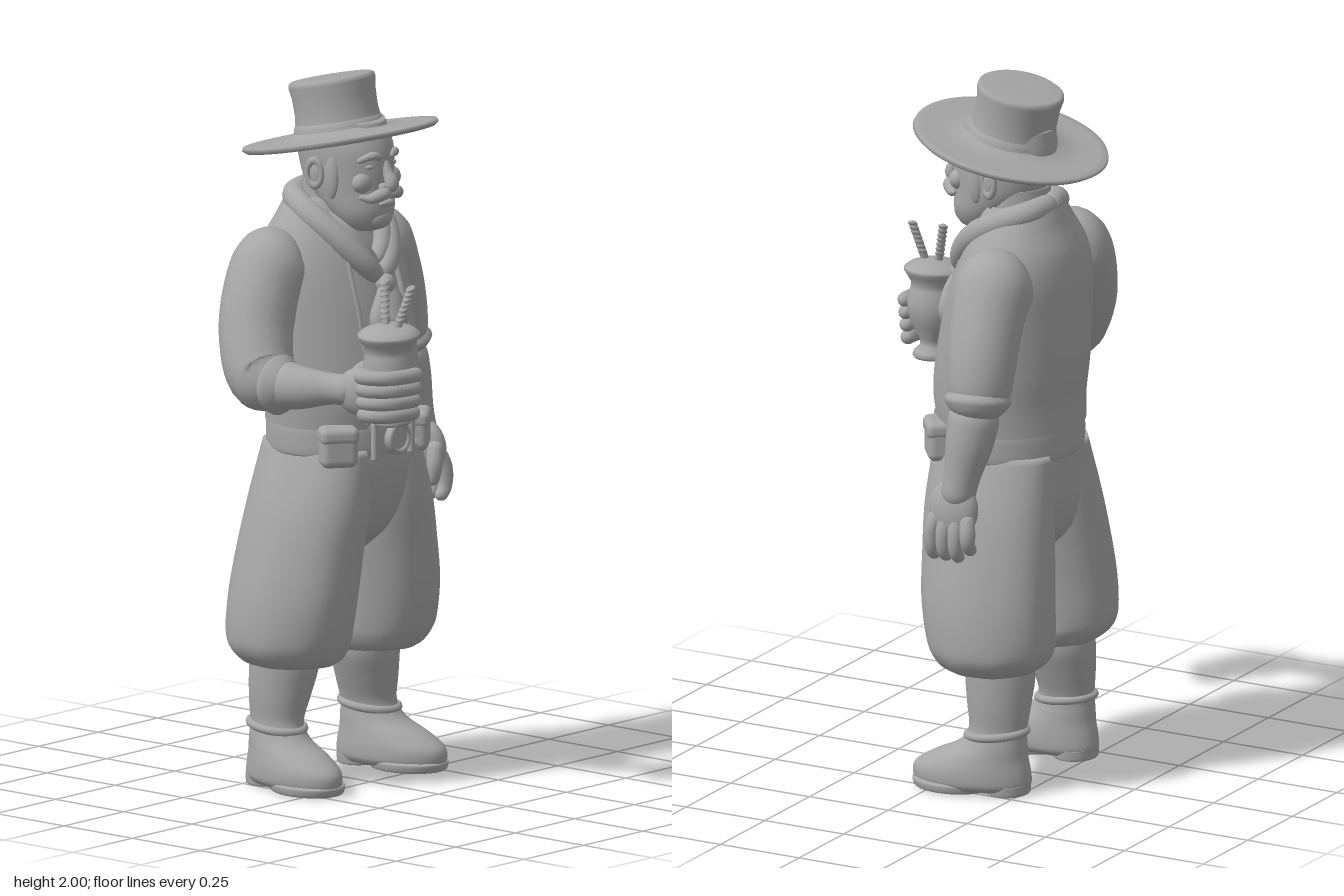
import * as THREE from 'three';
import { mergeVertices } from 'three/addons/utils/BufferGeometryUtils.js';
import { RoundedBoxGeometry } from 'three/addons/geometries/RoundedBoxGeometry.js';

const clay = new THREE.MeshStandardMaterial({ color: 0xa6a6a6, side: THREE.DoubleSide });
clay.name = 'clay grey';
const V = (x, y, z) => new THREE.Vector3(x, y, z);

function add(parent, name, geo, pos = [0, 0, 0], rot = [0, 0, 0], scale = [1, 1, 1]) {
  const m = new THREE.Mesh(geo, clay);
  m.name = name;
  m.position.set(...pos);
  m.rotation.set(...rot);
  m.scale.set(...scale);
  parent.add(m);
  return m;
}
const ball = (parent, name, pos, size, rot) =>
  add(parent, name, new THREE.SphereGeometry(1, 24, 16), pos, rot, size);

// Smooth cubic blend through a column of section values
function blend(rows, t, k) {
  const n = rows.length - 1, s = Math.min(n - 1e-6, t * n), i = Math.floor(s), f = s - i;
  const p = (j) => rows[Math.max(0, Math.min(n, j))][k];
  const a = p(i - 1), b = p(i), c = p(i + 1), d = p(i + 2);
  return b + 0.5 * f * (c - a + f * (2 * a - 5 * b + 4 * c - d + f * (3 * (b - c) + d - a)));
}
// Point on a stack of ovals [y, cx, cz, rx, rz]; angle 0 is the front
function ovalPoint(rows, t, a, grow = 0, fold = () => 0) {
  const [y, cx, cz, rx, rz] = [0, 1, 2, 3, 4].map((k) => blend(rows, t, k));
  const g = 1 + fold(t, a);
  return V(cx + (rx + grow) * g * Math.sin(a), y, cz + (rz + grow) * g * Math.cos(a));
}
// Skin over a stack of ovals, either closed or open at the front
function loft(rows, { open = 0, grow = 0, fold, cap = true, nt = 40, na = 56 } = {}) {
  const pos = [], idx = [], w = na + 1;
  for (let i = 0; i <= nt; i++) for (let j = 0; j <= na; j++) {
    const a = open + (j / na) * (2 * Math.PI - 2 * open);
    pos.push(...ovalPoint(rows, i / nt, a, grow, fold).toArray());
  }
  for (let i = 0; i < nt; i++) for (let j = 0; j < na; j++) {
    const a = i * w + j;
    idx.push(a, a + 1, a + w, a + 1, a + w + 1, a + w);
  }
  if (cap && !open) [0, nt].forEach((i) => {
    const r = rows[i ? rows.length - 1 : 0], c = pos.length / 3;
    pos.push(r[1], r[0], r[2]);
    for (let j = 0; j < na; j++) {
      const a = i * w + j;
      idx.push(...(i ? [a, a + 1, c] : [a + 1, a, c]));
    }
  });
  return smooth(pos, idx);
}
function smooth(pos, idx) {
  let g = new THREE.BufferGeometry();
  g.setAttribute('position', new THREE.Float32BufferAttribute(pos, 3));
  g.setIndex(idx);
  g = mergeVertices(g, 1e-5);
  g.computeVertexNormals();
  return g;
}
// Round-ended tube through points [x, y, z, radius]
function limb(pts, n = 32, sides = 20) {
  const curve = new THREE.CatmullRomCurve3(pts.map((p) => V(p[0], p[1], p[2])));
  const g = new THREE.TubeGeometry(curve, n, 1, sides), len = curve.getLength(), pos = [];
  // Bunch the rings at the ends so the tips come out round
  const frames = curve.computeFrenetFrames(n);
  for (let i = 0; i <= n; i++) {
    const u = 0.5 - 0.5 * Math.cos((Math.PI * i) / n);
    const c = curve.getPointAt(u), t = curve.getUtoTmapping(u);
    let r = Math.max(0.0005, blend(pts, t, 3));
    const end = Math.min(1, (Math.min(u, 1 - u) * len) / r);
    r *= Math.sqrt(Math.max(0, 1 - (1 - end) ** 2));
    const k = Math.round(u * n);
    for (let j = 0; j <= sides; j++) {
      const a = (j / sides) * Math.PI * 2;
      const d = frames.normals[k].clone().multiplyScalar(-Math.cos(a)).addScaledVector(frames.binormals[k], Math.sin(a));
      pos.push(...c.clone().addScaledVector(d, r).toArray());
    }
  }
  return smooth(pos, Array.from(g.index.array));
}
const mirror = (pts) => pts.map(([x, ...rest]) => [-x, ...rest]);

const TORSO = [[1.02, 0, -.11, .205, .19], [1.1, 0, -.105, .212, .195], [1.2, 0, -.115, .218, .195],
  [1.35, 0, -.132, .222, .182], [1.45, 0, -.147, .22, .165], [1.53, 0, -.155, .195, .143],
  [1.6, 0, -.155, .15, .112], [1.65, 0, -.155, .11, .095]];

function buildHead(root) {
  const head = new THREE.Group();
  head.name = 'head';
  head.position.x = -.004;
  root.add(head);
  add(head, 'skull', loft([[1.56, 0, -.015, .03, .03], [1.575, 0, -.018, .065, .065], [1.62, 0, -.035, .093, .098],
    [1.68, 0, -.07, .106, .13], [1.74, 0, -.083, .11, .146], [1.8, 0, -.09, .112, .148], [1.87, 0, -.1, .1, .13]]));
  add(head, 'neck', new THREE.CylinderGeometry(.088, .1, .22, 32), [0, 1.59, -.13]);
  add(head, 'nose', limb([[0, 1.765, .05, .012], [0, 1.73, .068, .015], [0, 1.7, .082, .021], [0, 1.685, .065, .018]], 20));
  ball(head, 'chin', [0, 1.6, .035], [.045, .032, .03]);
  ball(head, 'lowerLip', [0, 1.645, .064], [.03, .01, .013]);
  for (const s of [1, -1]) {
    const side = (p) => (s > 0 ? p : mirror(p));
    add(head, 'moustache', limb(side([[.002, 1.677, .076, .014], [.03, 1.674, .073, .018], [.055, 1.663, .052, .014], [.078, 1.668, .03, .006]])));
    add(head, 'eyebrow', limb(side([[.018, 1.772, .06, .009], [.045, 1.782, .052, .012], [.08, 1.766, .024, .008]])));
    ball(head, 'eye', [s * .043, 1.75, .041], [.018, .009, .012]);
    ball(head, 'cheek', [s * .058, 1.705, .025], [.034, .03, .026]);
    ball(head, 'nostril', [s * .018, 1.692, .066], [.013, .012, .014]);
    add(head, 'ear', new THREE.TorusGeometry(.026, .009, 10, 24), [s * .116, 1.725, -.1], [0, Math.PI / 2 - s * .3, 0], [.85, 1.35, 1]);
    ball(head, 'earLobe', [s * .112, 1.722, -.1], [.01, .034, .02]);
    ball(head, 'sideburn', [s * .1, 1.72, -.05], [.015, .065, .024]);
  }
}

function buildHat(root) {
  const hat = new THREE.Group();
  hat.name = 'hat';
  hat.position.set(-.012, 1.813, -.1);
  hat.rotation.x = -.207;
  root.add(hat);
  const P = (a) => a.map(([x, y]) => new THREE.Vector2(x, y));
  add(hat, 'brim', new THREE.LatheGeometry(P([[.001, -.008], [.13, -.008], [.21, -.012], [.265, -.009], [.275, -.001],
    [.272, .008], [.25, .008], [.19, .007], [.135, .016], [.12, .03]]), 72));
  add(hat, 'crown', new THREE.LatheGeometry(P([[.128, .012], [.121, .03], [.116, .07], [.117, .12], [.122, .15],
    [.12, .161], [.112, .166], [.06, .167], [.0005, .166]]), 64));
  add(hat, 'hatBand', new THREE.LatheGeometry(P([[.13, .012], [.126, .03], [.121, .045], [.114, .047]]), 64));
}

function buildTorso(root) {
  add(root, 'shirt', loft(TORSO));
  const vest = TORSO.slice();
  add(root, 'vest', loft(vest, { open: .44, grow: .012 }));
  for (const s of [1, -1]) {
    const edge = [];
    for (let i = 0; i <= 8; i++) edge.push([...ovalPoint(vest, .02 + .1 * i, s * .44, .006).toArray(), .009]);
    add(root, 'vestEdge', limb(edge, 40, 10));
    // Neckerchief roll, collar and hanging tail
    const side = (p) => (s > 0 ? p : mirror(p));
    add(root, 'neckerchief', limb(side([[0, 1.425, .035, .025], [.05, 1.475, .022, .032], [.1, 1.55, -.035, .036],
      [.122, 1.61, -.12, .036], [.085, 1.645, -.205, .034], [-.015, 1.655, -.235, .032]])));
    add(root, 'neckFold', limb(side([[0, 1.46, .01, .025], [.045, 1.51, .0, .028], [.08, 1.57, -.04, .028], [.095, 1.61, -.11, .025]])));
    add(root, 'neckerchiefTail', limb(side([[.01, 1.42, .058, .012], [.028, 1.37, .066, .022], [.042, 1.31, .07, .027], [.035, 1.255, .084, .004]])));
  }
  ball(root, 'neckerchiefKnot', [0, 1.415, .056], [.03, .028, .026]);
  for (let i = 0; i < 3; i++) ball(root, 'shirtButton', [0, 1.24 - i * .07, .082 + i * .003], [.008, .008, .006]);
  // Belt, buckle and pouches
  add(root, 'belt', loft([[.94, 0, -.108, .2, .18], [.945, 0, -.108, .215, .197], [.985, 0, -.108, .218, .2],
    [1.025, 0, -.108, .215, .197], [1.03, 0, -.108, .2, .18]]));
  add(root, 'buckle', new THREE.CylinderGeometry(.044, .046, .025, 28), [.003, .985, .093], [Math.PI / 2, 0, 0]);
  add(root, 'buckleRim', new THREE.TorusGeometry(.038, .008, 10, 28), [.003, .985, .104]);
  for (const s of [1, -1]) {
    add(root, 'pouch', new RoundedBoxGeometry(.105, .11, .07, 4, .022), [s * .165 - .01, .977, .035], [0, s * .65, 0]);
    add(root, 'pouchFlap', new RoundedBoxGeometry(.11, .05, .078, 4, .02), [s * .165 - .01, 1.012, .035], [0, s * .65, 0]);
    add(root, 'beltLoop', new RoundedBoxGeometry(.022, .11, .02, 3, .008), [s * .075, .983, .083], [0, s * .3, 0]);
  }
}

function buildLegs(root) {
  add(root, 'trouserSeat', loft([[.66, 0, -.13, .08, .1], [.72, 0, -.125, .16, .155], [.8, 0, -.115, .205, .182],
    [.9, 0, -.107, .212, .192], [.98, 0, -.107, .205, .19]]));
  const folds = (t, a) => .022 * Math.cos(9 * a) * Math.max(0, 1 - t * 2.2) + .012 * Math.cos(6 * a + 5 * t) * t * (1 - t) * 3;
  for (const s of [1, -1]) {
    const leg = new THREE.Group();
    leg.name = s > 0 ? 'leftLeg' : 'rightLeg';
    root.add(leg);
    add(leg, 'trouserLeg', loft([[.345, s * .167, -.14, .09, .09], [.352, s * .168, -.14, .128, .135], [.39, s * .174, -.146, .156, .17],
      [.44, s * .177, -.143, .162, .184], [.54, s * .172, -.133, .158, .192], [.66, s * .155, -.124, .15, .192],
      [.8, s * .13, -.113, .137, .19], [.96, s * .1, -.107, .105, .178]], { fold: folds }));
    const boot = new THREE.Group();
    boot.name = 'boot';
    boot.position.set(s * .195, 0, -.17);
    boot.rotation.y = s * .14;
    leg.add(boot);
    add(boot, 'bootUpper', loft([[.012, 0, .07, .08, .16], [.03, 0, .07, .092, .172], [.065, 0, .068, .092, .168],
      [.1, 0, .045, .084, .138], [.135, 0, .01, .074, .1], [.18, -s * .002, -.005, .067, .083], [.25, -s * .012, -.005, .082, .09],
      [.32, -s * .024, -.003, .095, .097], [.37, -s * .026, 0, .095, .095]]));
    add(boot, 'sole', loft([[.0, 0, .125, .08, .105], [.004, 0, .125, .09, .113], [.022, 0, .125, .094, .118], [.028, 0, .125, .088, .11]]));
    add(boot, 'heel', loft([[.0, 0, -.035, .06, .055], [.004, 0, -.035, .066, .062], [.03, 0, -.035, .068, .064]]));
    add(boot, 'ankleCrease', new THREE.TorusGeometry(.068, .012, 10, 32), [0, .17, -.003], [Math.PI / 2 + .12, 0, 0], [1, 1.2, 1]);
  }
}

function buildArms(root) {
  const left = new THREE.Group(), right = new THREE.Group();
  left.name = 'leftArm';
  right.name = 'rightArm';
  root.add(left, right);
  // Arm hanging at the side
  add(left, 'sleeve', limb([[.13, 1.52, -.17, .09], [.2, 1.48, -.175, .112], [.26, 1.39, -.18, .104], [.31, 1.27, -.19, .096], [.34, 1.12, -.195, .085]]));
  add(left, 'cuff', limb([[.326, 1.235, -.19, .08], [.332, 1.2, -.192, .1], [.342, 1.155, -.194, .1], [.348, 1.11, -.194, .08]]));
  add(left, 'forearm', limb([[.335, 1.18, -.19, .075], [.36, 1.06, -.18, .068], [.378, .96, -.165, .052], [.39, .87, -.15, .05]]));
  ball(left, 'palm', [.39, .865, -.145], [.042, .085, .075], [0, 0, .1]);
  for (let i = 0; i < 4; i++) {
    const z = -.205 + i * .038, d = i === 0 ? .025 : 0;
    add(left, 'finger', limb([[.4, .86, z * .8 - .03, .022], [.418, .805, z, .022], [.414, .75 + d, z, .02], [.388, .722 + d, z, .017]], 20, 12));
  }
  add(left, 'thumb', limb([[.375, .89, -.09, .024], [.355, .83, -.075, .023], [.35, .77, -.08, .018]], 20, 12));
  // Bent arm holding the cup
  add(right, 'sleeve', limb([[-.13, 1.52, -.17, .09], [-.2, 1.48, -.175, .112], [-.265, 1.39, -.17, .108], [-.315, 1.28, -.145, .102],
    [-.347, 1.185, -.09, .096], [-.355, 1.172, -.01, .08]], 44));
  add(right, 'cuff', limb([[-.35, 1.18, -.075, .085], [-.353, 1.175, -.045, .096], [-.354, 1.175, 0, .09], [-.35, 1.175, .03, .07]]));
  add(right, 'forearm', limb([[-.352, 1.175, -.05, .075], [-.345, 1.175, .05, .06], [-.318, 1.18, .14, .044], [-.295, 1.18, .22, .045]]));
  ball(right, 'palm', [-.297, 1.18, .225], [.042, .068, .075], [0, .2, 0]);
  for (let i = 0; i < 4; i++) {
    const y = 1.123 + i * .036, r = .078 + i * .003;
    const arc = [-1.9, -1.35, -.75, -.2, .3].map((a, k) => [-.215 + (r + .01) * Math.sin(a) - (k < 3 ? .02 : 0), y, .262 + r * Math.cos(a), .021]);
    add(right, 'finger', limb(arc, 24, 12));
  }
  add(right, 'thumb', limb([[-.29, 1.19, .18, .026], [-.235, 1.225, .178, .024], [-.18, 1.235, .187, .019]], 20, 12));
}

function buildCup(root) {
  const cup = new THREE.Group();
  cup.name = 'cup';
  cup.position.set(-.2, 1.08, .255);
  cup.rotation.z = .06;
  root.add(cup);
  add(cup, 'goblet', new THREE.LatheGeometry([[.001, 0], [.05, 0], [.056, .008], [.052, .02], [.036, .035], [.037, .055], [.058, .09],
    [.073, .13], [.075, .165], [.067, .2], [.065, .215], [.078, .237], [.087, .25], [.086, .258], [.07, .27], [.04, .28], [.001, .283]]
    .map(([x, y]) => new THREE.Vector2(x, y)), 48));
  // Two twisted straws
  [[[.0, .27, -.01], [.042, .395, -.045]], [[.0, .27, .03], [.042, .39, .055]]].forEach(([a, b]) => {
    const pts = [0, .25, .5, .75, 1].map((t) => [0, 1, 2].map((k) => a[k] + (b[k] - a[k]) * t).concat(.011));
    add(cup, 'straw', limb(pts, 20, 10));
    for (let i = 0; i < 7; i++) {
      const p = a.map((v, k) => v + (b[k] - v) * (.25 + i * .115));
      ball(cup, 'strawTwist', p, [.015, .007, .013], [0, 0, .35]);
    }
  });
}

export function createModel() {
  const root = new THREE.Group();
  root.name = 'ranchHand';
  [buildHead, buildHat, buildTorso, buildLegs, buildArms, buildCup].forEach((build) => build(root));
  return root;
}
